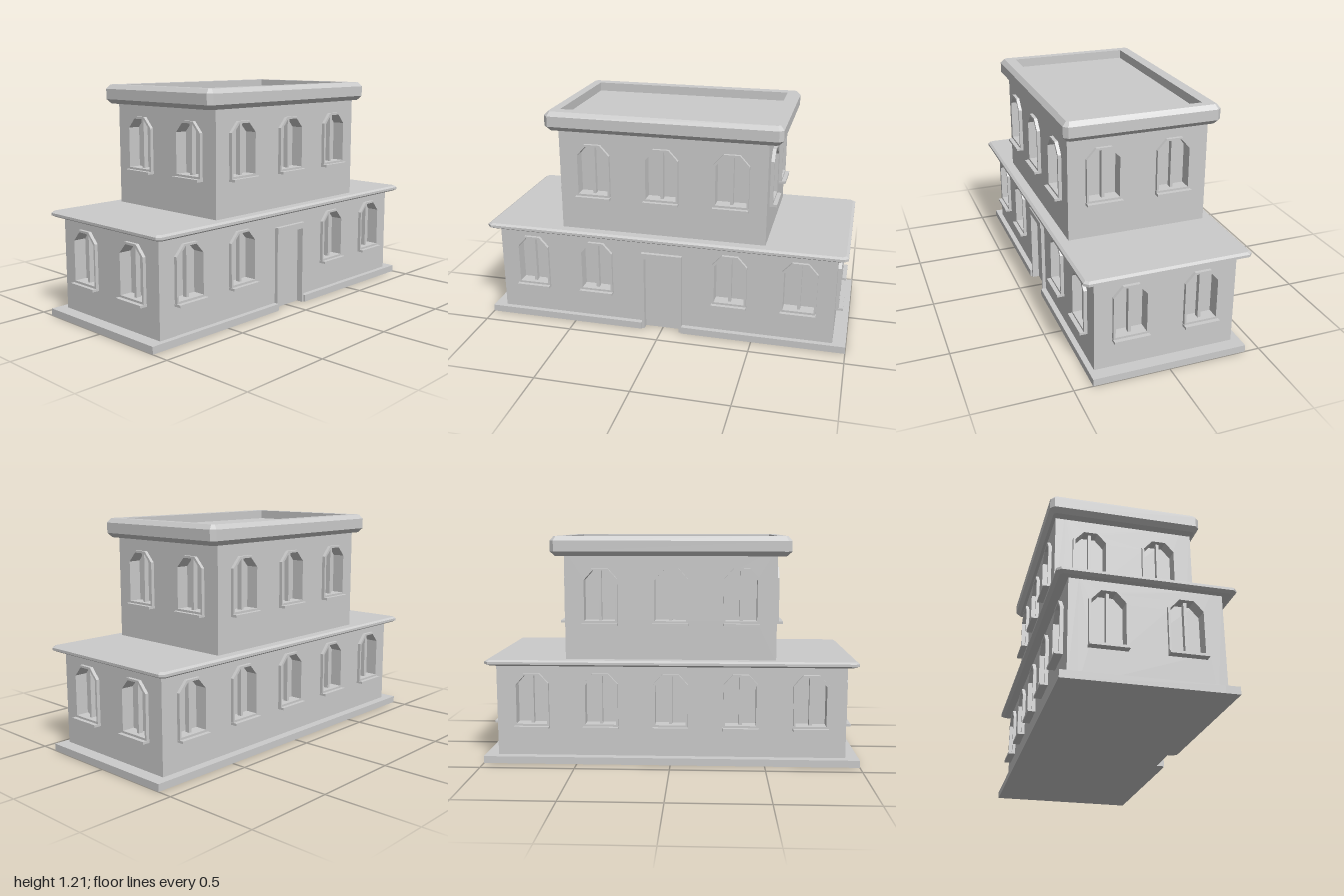
import * as THREE from 'three';

const material = new THREE.MeshStandardMaterial({ color: 0xcccccc, flatShading: true });
const WALL = 0.05; // wall thickness, also the depth of the window recesses

function add(parent, name, geometry, x = 0, y = 0, z = 0) {
  const mesh = new THREE.Mesh(geometry, material);
  mesh.name = name;
  mesh.position.set(x, y, z);
  parent.add(mesh);
  return mesh;
}

// Box given by its minimum and maximum on each axis
function block(parent, name, [x0, x1], [y0, y1], [z0, z1]) {
  return add(parent, name, new THREE.BoxGeometry(x1 - x0, y1 - y0, z1 - z0),
    (x0 + x1) / 2, (y0 + y1) / 2, (z0 + z1) / 2);
}

const extrude = (shape, depth) => new THREE.ExtrudeGeometry(shape, { depth, bevelEnabled: false });

// Window outline with clipped upper corners, reduced by an inset
function windowPoints(x, y, inset) {
  const w = 0.0925 - inset, bottom = y + 0.013 + inset, top = y + 0.298 - inset;
  const cx = 0.05 - inset * 0.4, cy = 0.055 - inset * 0.4;
  return [[-w, bottom], [w, bottom], [w, top - cy], [w - cx, top], [-w + cx, top], [-w, top - cy]]
    .map(([px, py]) => new THREE.Vector2(x + px, py));
}

// Raised frame, sill and mullion of one window
function addWindow(parent, x, y) {
  const group = new THREE.Group();
  group.name = 'window';
  parent.add(group);
  const frame = new THREE.Shape(windowPoints(x, y, 0));
  frame.holes.push(new THREE.Path(windowPoints(x, y, 0.011)));
  add(group, 'windowFrame', extrude(frame, 0.018));
  block(group, 'windowSill', [x - 0.094, x + 0.094], [y, y + 0.013], [-0.01, 0.04]);
  block(group, 'windowMullion', [x - 0.008, x + 0.008], [y + 0.02, y + 0.29], [-0.035, -0.008]);
}

// Wall with its outer face on local z = 0, pierced by windows and optionally a door
function addWall(parent, name, width, y0, y1, windowY, windowXs, door) {
  const wall = new THREE.Group();
  wall.name = name;
  parent.add(wall);
  const h = width / 2;
  const outline = [[-h, y0]];
  if (door) outline.push([-door.w, y0], [-door.w, door.h], [door.w, door.h], [door.w, y0]);
  outline.push([h, y0], [h, y1], [-h, y1]);
  const shape = new THREE.Shape(outline.map(([x, y]) => new THREE.Vector2(x, y)));
  for (const x of windowXs) {
    shape.holes.push(new THREE.Path(windowPoints(x, windowY, 0.011)));
    addWindow(wall, x, windowY);
  }
  add(wall, name + 'Panel', extrude(shape, WALL), 0, 0, -WALL);
  return wall;
}

// One storey: solid core behind four pierced walls
function addStorey(parent, name, hx, hz, y0, y1, windowY, frontXs, backXs, door) {
  const storey = new THREE.Group();
  storey.name = name;
  parent.add(storey);
  block(storey, 'core', [-hx + WALL, hx - WALL], [y0, y1], [-hz + WALL, hz - WALL]);
  addWall(storey, 'frontWall', hx * 2, y0, y1, windowY, frontXs, door).position.z = hz;
  const back = addWall(storey, 'backWall', hx * 2, y0, y1, windowY, backXs);
  back.position.z = -hz;
  back.rotation.y = Math.PI;
  for (const s of [-1, 1]) {
    const side = addWall(storey, s > 0 ? 'leftWall' : 'rightWall', (hz - WALL) * 2, y0, y1, windowY, [-0.187, 0.187]);
    side.position.x = s * hx;
    side.rotation.y = s * Math.PI / 2;
  }
}

// Slab lofted from clipped rectangles; each ring is [halfX, halfZ, corner clip, y]
function ringSlab(rings) {
  const positions = [], index = [];
  for (const [x, z, c, y] of rings) {
    for (const [px, pz] of [[x, z - c], [x, -z + c], [x - c, -z], [-x + c, -z],
      [-x, -z + c], [-x, z - c], [-x + c, z], [x - c, z]]) positions.push(px, y, pz);
  }
  for (let r = 0; r < rings.length - 1; r++) {
    for (let i = 0; i < 8; i++) {
      const a = r * 8 + i, b = r * 8 + (i + 1) % 8;
      index.push(a, b, b + 8, a, b + 8, a + 8);
    }
  }
  const last = (rings.length - 1) * 8;
  for (let i = 1; i < 7; i++) {
    index.push(0, i + 1, i);
    index.push(last, last + i, last + i + 1);
  }
  const geometry = new THREE.BufferGeometry();
  geometry.setAttribute('position', new THREE.Float32BufferAttribute(positions, 3));
  geometry.setIndex(index);
  const flat = geometry.toNonIndexed();
  flat.computeVertexNormals();
  return flat;
}

export function createModel() {
  const model = new THREE.Group();
  model.name = 'building';

  // Plinth, interrupted at the doorway
  block(model, 'plinthBack', [-1, 1], [0, 0.038], [-0.42, 0.33]);
  for (const s of [-1, 1]) {
    block(model, 'plinthFront', s > 0 ? [0.112, 1] : [-1, -0.112], [0, 0.038], [0.33, 0.402]);
  }

  // Storeys
  const upperXs = [-0.37, 0, 0.37];
  addStorey(model, 'lowerStorey', 0.93, 0.373, 0, 0.545, 0.187,
    [-0.742, -0.372, 0.372, 0.742], [-0.742, -0.372, 0, 0.372, 0.742], { w: 0.098, h: 0.422 });
  addStorey(model, 'upperStorey', 0.555, 0.373, 0.55, 1.15, 0.744, upperXs, upperXs);

  // Door leaf and surround
  block(model, 'door', [-0.1, 0.1], [0, 0.425], [0.32, 0.355]);
  for (const s of [-1, 1]) {
    block(model, 'doorJamb', s > 0 ? [0.098, 0.112] : [-0.112, -0.098], [0, 0.424], [0.35, 0.392]);
  }
  block(model, 'doorLintel', [-0.112, 0.112], [0.422, 0.455], [0.35, 0.395]);

  // Lower roof slab with bevelled edges
  add(model, 'lowerRoof', ringSlab([
    [0.962, 0.417, 0.015, 0.53], [0.982, 0.435, 0.02, 0.54],
    [0.982, 0.435, 0.02, 0.553], [0.968, 0.422, 0.015, 0.562],
  ]));

  // Upper roof with bevelled parapet and sunken deck
  add(model, 'upperRoof', ringSlab([
    [0.602, 0.388, 0.012, 1.106], [0.626, 0.41, 0.022, 1.13],
    [0.626, 0.41, 0.022, 1.185], [0.606, 0.39, 0.012, 1.208],
    [0.558, 0.33, 0, 1.208], [0.558, 0.33, 0, 1.16],
  ]), 0, 0, -0.003);

  return model;
}
